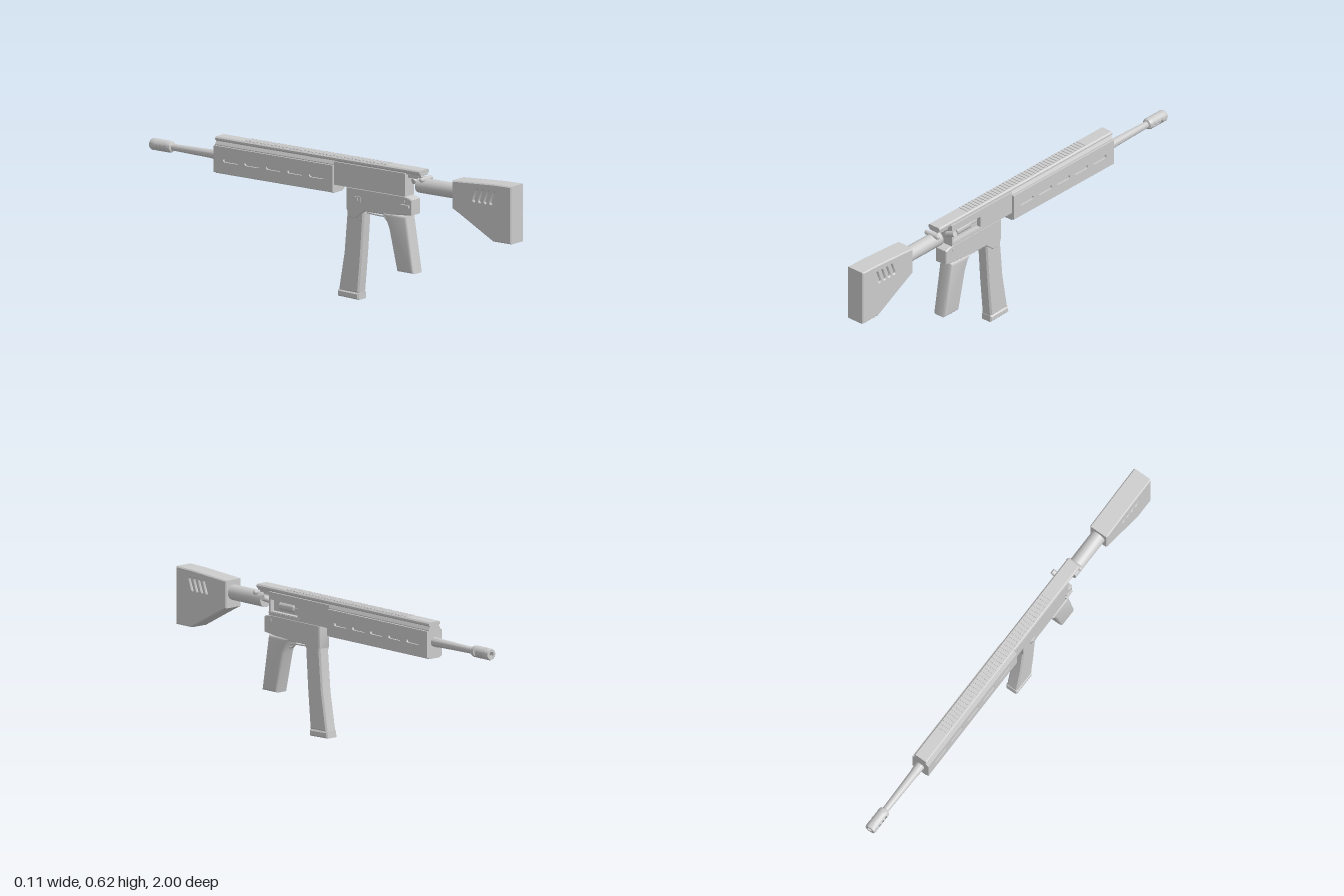
import * as THREE from 'three';
import { toCreasedNormals } from 'three/addons/utils/BufferGeometryUtils.js';

const CX = -0.01; // centre plane of the body
const AXIS = 0.533; // barrel height

export function createModel() {
  const root = new THREE.Group();
  const mat = new THREE.MeshStandardMaterial({ color: 0xcccccc });
  const thin = new THREE.MeshStandardMaterial({ color: 0xcccccc, side: THREE.DoubleSide });

  const add = (name, geo, x = CX, y = 0, z = 0, m = mat) => {
    const mesh = new THREE.Mesh(geo, m);
    mesh.name = name;
    mesh.position.set(x, y, z);
    root.add(mesh);
    return mesh;
  };
  const box = (name, w, h, d, x, y, z) => add(name, new THREE.BoxGeometry(w, h, d), x, y, z);
  const outline = (pts) => new THREE.Shape(pts.map(([a, b]) => new THREE.Vector2(a, b)));

  // Side profile given as [z, y], extruded across x and centred
  const slab = (name, pts, width, bevel = 0, x = CX, holes = []) => {
    const shape = outline(pts);
    shape.holes.push(...holes);
    const geo = new THREE.ExtrudeGeometry(shape, {
      depth: width - 2 * bevel, bevelEnabled: bevel > 0, bevelThickness: bevel,
      bevelSize: bevel, bevelOffset: -bevel, bevelSegments: bevel > 0.008 ? 3 : 1, curveSegments: 6,
    });
    geo.translate(0, 0, bevel - width / 2).rotateY(-Math.PI / 2);
    return add(name, toCreasedNormals(geo, 0.6), x);
  };

  // Cross-section given as half of [x, y], mirrored and extruded from z0 to z1
  const section = (name, half, z0, z1) => {
    const pts = [...half, ...half.map(([x, y]) => [-x, y]).reverse()];
    const geo = new THREE.ExtrudeGeometry(outline(pts), { depth: z1 - z0, bevelEnabled: false });
    return add(name, geo, CX, 0, z0);
  };

  // Turned part along z, profile as [radius, z] running forwards
  const turned = (name, pts, y = AXIS, sides = 20) => {
    const geo = new THREE.LatheGeometry(pts.map(([r, z]) => new THREE.Vector2(r, -z)), sides);
    return add(name, toCreasedNormals(geo.rotateX(-Math.PI / 2), 0.6), CX, y);
  };

  // Rounded slot as a hole, centre (z, y), rotated by angle
  const slot = (z, y, length, width, angle = 0) => {
    const pts = [];
    const r = width / 2;
    for (let i = 0; i < 12; i++) {
      const t = (i < 6 ? i : i - 6) / 5 * Math.PI - Math.PI / 2 + (i < 6 ? 0 : Math.PI);
      const u = Math.cos(t) * r + (i < 6 ? 1 : -1) * (length / 2 - r);
      const v = Math.sin(t) * r;
      pts.push(new THREE.Vector2(z + u * Math.cos(angle) - v * Math.sin(angle),
        y + u * Math.sin(angle) + v * Math.cos(angle)));
    }
    return new THREE.Path(pts);
  };

  // Shoulder stock with slanted vents, backed by an inner block
  const vents = [0, 1, 2, 3].map((i) => slot(0.9 - i * 0.031, 0.56, 0.058, 0.011, 1.2));
  slab('stock', [[1, 0.367], [1, 0.624], [0.9, 0.622], [0.675, 0.608], [0.675, 0.485], [0.71, 0.468],
    [0.9, 0.367]], 0.091, 0.005, CX, vents);
  box('stockCore', 0.075, 0.09, 0.15, CX, 0.56, 0.853);
  turned('bufferTube', [[0, 0.69], [0.034, 0.69], [0.034, 0.465], [0, 0.465]], 0.552);

  // Upper receiver: solid left half, right wall with the ejection port
  const upper = [[0.41, 0.497], [0.41, 0.6], [0.02, 0.6], [0.02, 0.497]];
  slab('receiverBody', upper, 0.045, 0, CX - 0.0105);
  const port = new THREE.Path([[0.4, 0.515], [0.225, 0.515], [0.225, 0.567], [0.4, 0.567]]
    .map(([z, y]) => new THREE.Vector2(z, y)));
  slab('receiverWall', upper, 0.021, 0, CX + 0.0225, [port]);
  turned('boltCarrier', [[0, 0.36], [0.021, 0.36], [0.021, 0.27], [0.014, 0.26], [0.014, 0.21], [0, 0.21]], 0.541);
  box('portLip', 0.004, 0.006, 0.19, CX + 0.034, 0.509, 0.312);

  // Bolt handle on the left, charging handle at the rear
  const handle = add('boltHandle', new THREE.CylinderGeometry(0.013, 0.013, 0.05, 14), 0.027, 0.566, 0.42);
  handle.rotation.z = -1.2;
  box('chargingRod', 0.022, 0.014, 0.1, CX, 0.585, 0.45);
  const grip = add('chargingHandle', new THREE.CapsuleGeometry(0.011, 0.062, 4, 10), CX, 0.583, 0.5);
  grip.rotation.z = Math.PI / 2;

  // Lower receiver with magazine well
  slab('lowerReceiver', [[0.445, 0.417], [0.445, 0.485], [0.43, 0.492], [0.4, 0.498], [0.085, 0.498],
    [0.085, 0.4], [0.1, 0.363], [0.14, 0.363], [0.185, 0.4], [0.29, 0.4]], 0.062, 0.004);
  for (const s of [-1, 1]) box('receiverPin', 0.006, 0.012, 0.012, CX + s * 0.031, 0.475, 0.4);
  box('selectorLever', 0.012, 0.012, 0.045, CX - 0.033, 0.455, 0.41);
  box('magazineCatch', 0.008, 0.024, 0.03, CX - 0.032, 0.45, 0.15);
  box('magazineCatchButton', 0.012, 0.012, 0.012, CX - 0.034, 0.45, 0.15);

  // Pistol grip, trigger and guard
  slab('pistolGrip', [[0.457, 0.157], [0.415, 0.41], [0.285, 0.41], [0.305, 0.375], [0.32, 0.34],
    [0.363, 0.157]], 0.07, 0.014);
  const tube = (name, pts, r) => add(name, new THREE.TubeGeometry(
    new THREE.CatmullRomCurve3(pts.map(([z, y]) => new THREE.Vector3(0, y, z))), 16, r, 6), CX);
  tube('triggerGuard', [[0.315, 0.372], [0.29, 0.383], [0.23, 0.386], [0.17, 0.39]], 0.004);
  tube('trigger', [[0.275, 0.41], [0.272, 0.392], [0.28, 0.378], [0.297, 0.366], [0.31, 0.364]], 0.005);

  // Magazine with base plate
  slab('magazine', [[0.15, 0.03], [0.166, 0.2], [0.18, 0.4], [0.088, 0.4], [0.07, 0.2], [0.04, 0.03]], 0.056, 0.007);
  slab('magazineBase', [[0.152, 0], [0.152, 0.03], [0.038, 0.034], [0.035, 0.004]], 0.06, 0.006);

  // Handguard: chamfered core with slotted side panels
  section('handguard', [[0.024, 0.46], [0.034, 0.466], [0.034, 0.588], [0.026, 0.602]], -0.63, 0.02);
  const slots = [0, 1, 2, 3, 4].map((i) => -0.067 - i * 0.1175).map((z) => slot(z, 0.525, 0.085, 0.018));
  for (const s of [-1, 1]) {
    slab('handguardPanel', [[0.02, 0.466], [0.02, 0.584], [-0.63, 0.584], [-0.63, 0.466]],
      0.01, 0, CX + s * 0.038, slots);
  }
  section('handguardFloor', [[0.03, 0.46], [0.043, 0.474], [0.03, 0.474]], -0.63, 0.02);

  // Top rail and its fine cross ribs
  section('topRail', [[0.024, 0.596], [0.026, 0.604], [0.033, 0.608], [0.033, 0.616], [0.027, 0.622]], -0.63, 0.49);
  for (let z = -0.465; z < 0.3; z += 0.02) box('railRib', 0.05, 0.004, 0.01, CX, 0.6225, z);

  // Barrel
  turned('barrel', [[0.021, -0.6], [0.021, -0.66], [0.019, -0.68], [0.0145, -0.9]]);

  // Muzzle device: core, end collars and a slotted sleeve
  turned('muzzleCore', [[0.019, -0.9], [0.019, -0.98]]);
  turned('muzzleRearCollar', [[0.014, -0.886], [0.023, -0.89], [0.026, -0.9], [0.026, -0.91], [0.018, -0.91]]);
  turned('muzzleFrontCollar', [[0.018, -0.975], [0.026, -0.975], [0.026, -0.993], [0.023, -1], [0.012, -1],
    [0.012, -0.975], [0, -0.975]]);
  const sleeve = (z0, z1, start, sweep) => {
    const geo = new THREE.CylinderGeometry(0.026, 0.026, z0 - z1, 8, 1, true, start, sweep);
    add('muzzleSleeve', geo.rotateX(-Math.PI / 2), CX, AXIS, (z0 + z1) / 2, thin);
  };
  for (const s of [0, Math.PI]) {
    sleeve(-0.91, -0.975, s - Math.PI / 3, 2 * Math.PI / 3);
    for (const z of [-0.922, -0.944]) sleeve(z, z - 0.01, s + Math.PI / 3, Math.PI / 3);
    sleeve(-0.966, -0.975, s + Math.PI / 3, Math.PI / 3);
  }
  return root;
}
